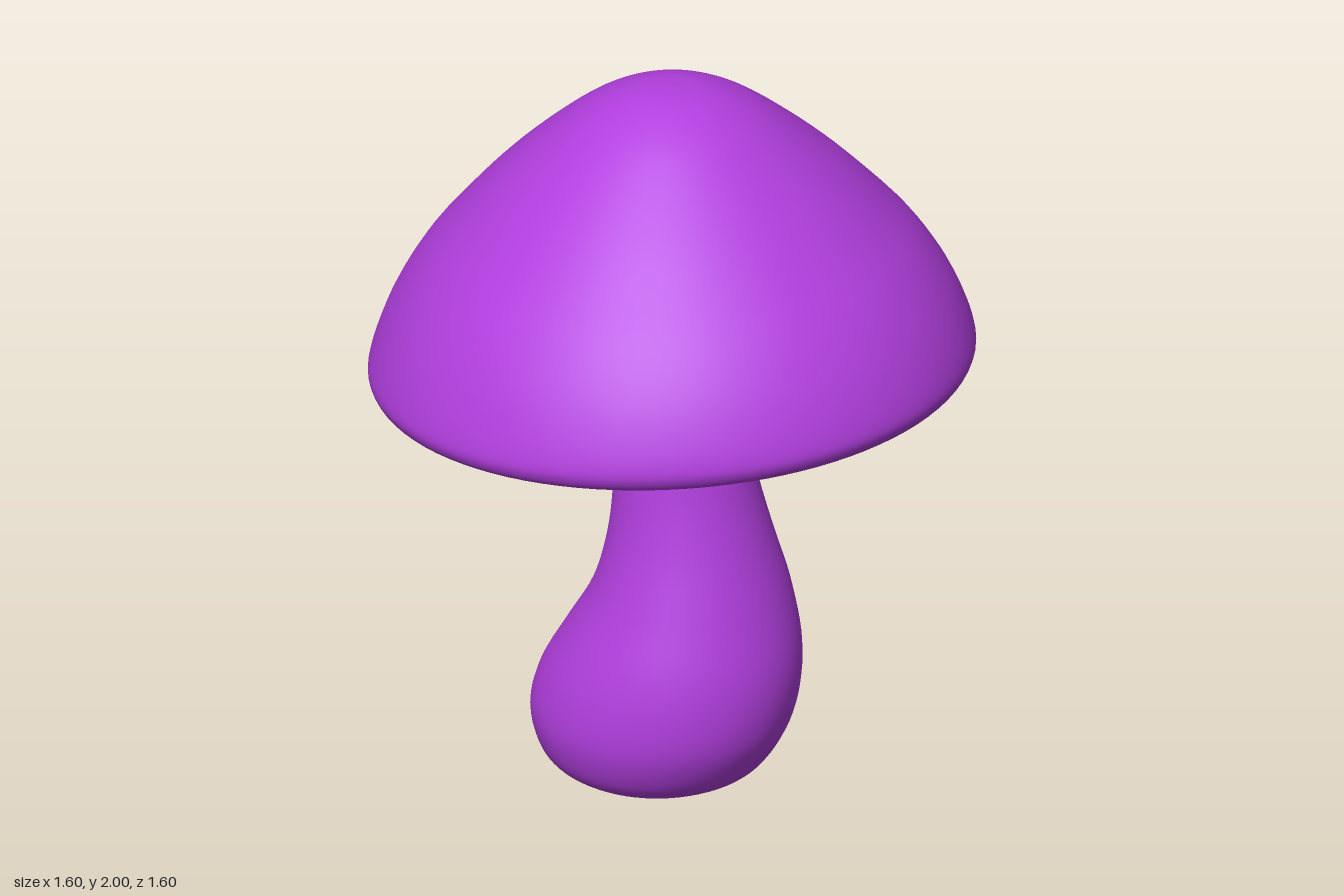
import * as THREE from 'three';

// Closed-around surface: point(u, a) gives the ring at u (0..1) and angle a.
function loft(point, rows, cols) {
  const pos = [], idx = [];
  for (let i = 0; i <= rows; i++) {
    for (let j = 0; j < cols; j++) pos.push(...point(i / rows, (j / cols) * Math.PI * 2));
  }
  for (let i = 0; i < rows; i++) {
    for (let j = 0; j < cols; j++) {
      const k = (j + 1) % cols;
      const a = i * cols + j, b = a + cols, c = i * cols + k, d = c + cols;
      idx.push(a, b, c, c, b, d);
    }
  }
  const g = new THREE.BufferGeometry();
  g.setAttribute('position', new THREE.Float32BufferAttribute(pos, 3));
  g.setIndex(idx);
  g.computeVertexNormals();
  return g;
}

const smooth = (pts) => new THREE.CatmullRomCurve3(pts, false, 'catmullrom');

// The cap leans: its rim is higher towards +x, fading out at the crown.
const lean = (x, y) => y + 0.072 * x * Math.min(1, Math.max(0, (2 - y) / 0.75));

export function createModel() {
  const model = new THREE.Group();
  model.name = 'mushroom';
  const purple = new THREE.MeshStandardMaterial({ color: 0xb23fdf });
  purple.name = 'purple';
  const add = (name, geometry) => {
    const mesh = new THREE.Mesh(geometry, purple);
    mesh.name = name;
    model.add(mesh);
  };

  // Cap: from inside the rolled rim, around it and up to the crown [radius, y]
  const capCurve = smooth([
    [0.675, 1.26], [0.68, 1.2], [0.7, 1.165], [0.735, 1.154], [0.772, 1.16], [0.795, 1.185],
    [0.8, 1.225], [0.775, 1.31], [0.73, 1.41], [0.66, 1.52], [0.57, 1.625], [0.47, 1.73],
    [0.36, 1.83], [0.25, 1.917], [0.16, 1.967], [0.08, 1.993], [0.0005, 2],
  ].map(([r, y]) => new THREE.Vector3(r, y, 0)));
  add('cap', loft((u, a) => {
    const p = capCurve.getPoint(u), x = p.x * Math.cos(a);
    return [x, lean(x, p.y), p.x * Math.sin(a)];
  }, 64, 96));

  // Gills: rounded radial ridges with sharp valleys between them
  const gillCount = 28;
  add('gills', loft((u, a) => {
    const r = 0.13 + 0.56 * u;
    const valley = 1 - Math.abs(Math.cos((a * gillCount) / 2));
    const depth = 0.035 + 0.075 * Math.sin(Math.PI * Math.min(1, u * 0.75 + 0.1));
    const y = 1.175 + 0.025 * u * u + depth * valley;
    const x = r * Math.cos(a);
    return [x, lean(x, y), r * Math.sin(a)];
  }, 14, gillCount * 12));

  // Stem: rings given by their extents [y, left x, right x, back z, front z]
  const rings = [
    [0.006, -0.03, -0.029, 0.02, 0.021],
    [0.006, -0.22, 0.15, -0.17, 0.21],
    [0.02, -0.3, 0.215, -0.23, 0.27],
    [0.07, -0.352, 0.275, -0.275, 0.318],
    [0.17, -0.378, 0.332, -0.312, 0.348],
    [0.28, -0.352, 0.355, -0.325, 0.342],
    [0.4, -0.285, 0.35, -0.315, 0.312],
    [0.55, -0.2, 0.315, -0.28, 0.258],
    [0.7, -0.16, 0.273, -0.235, 0.215],
    [0.85, -0.145, 0.235, -0.2, 0.19],
    [1.0, -0.147, 0.207, -0.183, 0.18],
    [1.1, -0.165, 0.198, -0.181, 0.18],
    [1.17, -0.185, 0.2, -0.185, 0.185],
    [1.26, -0.2, 0.205, -0.19, 0.19],
  ];
  const centre = smooth(rings.map(([y, l, r, b, f]) => new THREE.Vector3((l + r) / 2, y, (b + f) / 2)));
  const radius = smooth(rings.map(([y, l, r, b, f]) => new THREE.Vector3((r - l) / 2, 0, (f - b) / 2)));
  add('stem', loft((u, a) => {
    const c = centre.getPoint(u), s = radius.getPoint(u);
    return [c.x + s.x * Math.cos(a), Math.max(0, c.y), c.z + s.z * Math.sin(a)];
  }, 65, 64));

  return model;
}
